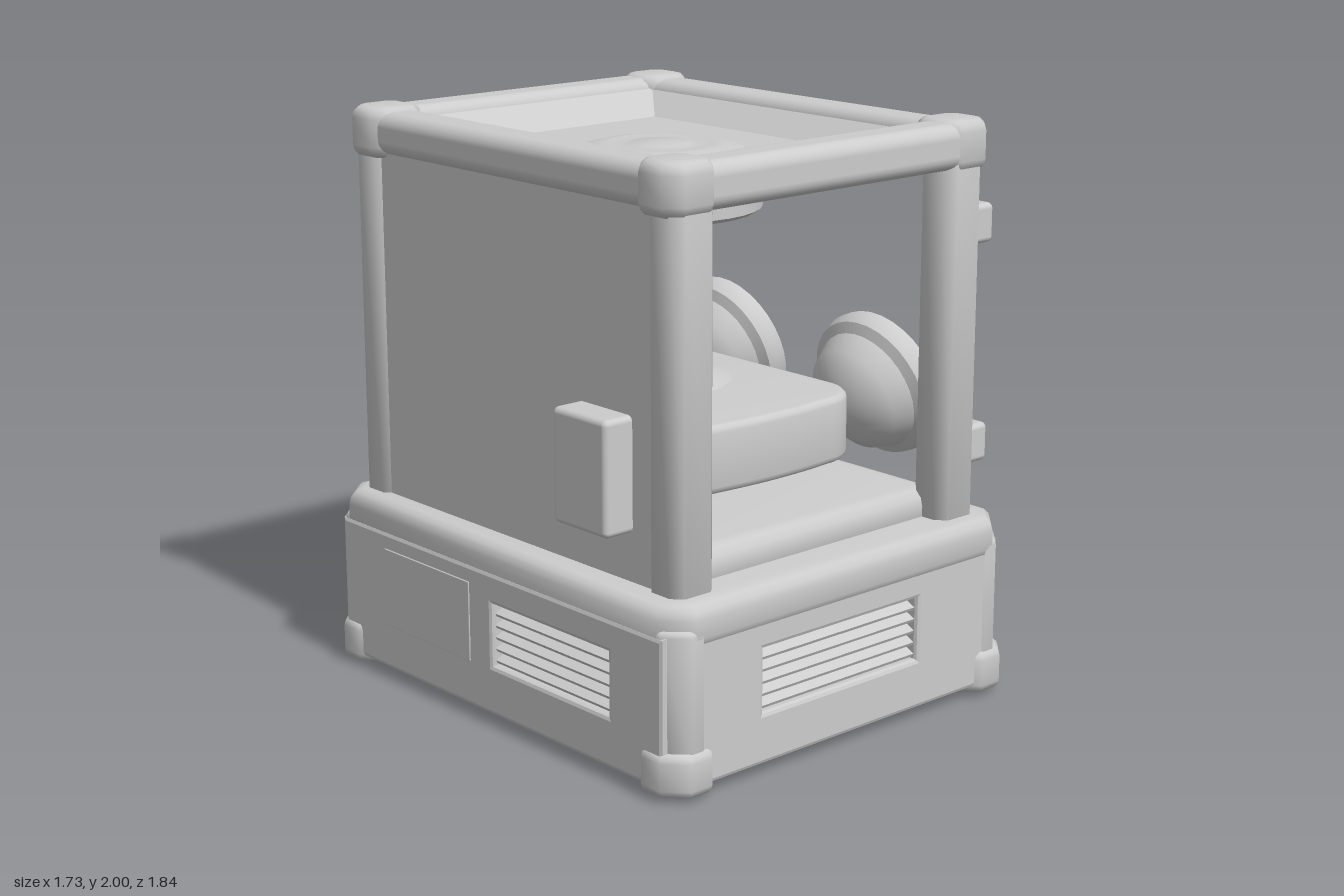
import * as THREE from 'three';
import { toCreasedNormals } from 'three/addons/utils/BufferGeometryUtils.js';
import { RoundedBoxGeometry } from 'three/addons/geometries/RoundedBoxGeometry.js';

const grey = new THREE.MeshStandardMaterial({ color: 0xcccccc });
grey.name = 'plain grey';

export function createModel() {
  const model = new THREE.Group();
  model.name = 'gloveBoxMachine';

  const add = (name, geo, parent = model) => {
    const mesh = new THREE.Mesh(geo, grey);
    mesh.name = name;
    parent.add(mesh);
    return mesh;
  };
  // Rounded box given by its limits
  const box = (name, x0, x1, y0, y1, z0, z1, r = 0.02, parent = model) => {
    const m = add(name, new RoundedBoxGeometry(x1 - x0, y1 - y0, z1 - z0, 3, r), parent);
    m.position.set((x0 + x1) / 2, (y0 + y1) / 2, (z0 + z1) / 2);
    return m;
  };
  // Upright block with cut corners (c) and bevelled top and bottom (b)
  const block = (name, x0, x1, y0, y1, z0, z1, c, b) => {
    const w = (x1 - x0) / 2, d = (z1 - z0) / 2;
    const shape = new THREE.Shape([
      [w - c, -d], [w, -d + c], [w, d - c], [w - c, d],
      [-w + c, d], [-w, d - c], [-w, -d + c], [-w + c, -d],
    ].map(([x, y]) => new THREE.Vector2(x, y)));
    const geo = new THREE.ExtrudeGeometry(shape, {
      depth: y1 - y0 - 2 * b, bevelThickness: b, bevelSize: b, bevelOffset: -b, bevelSegments: 3,
    });
    geo.rotateX(-Math.PI / 2);
    const m = add(name, toCreasedNormals(geo, 0.85));
    m.position.set((x0 + x1) / 2, y0 + b, (z0 + z1) / 2);
    return m;
  };
  const rect = (P, x0, x1, y0, y1) => new P().moveTo(x0, y0).lineTo(x1, y0).lineTo(x1, y1).lineTo(x0, y1).closePath();
  // Turned part about an upright axis
  const turned = (name, pts, x, z, parent = model, seg = 32) => {
    const geo = new THREE.LatheGeometry(pts.map(p => new THREE.Vector2(p[0], p[1])), seg);
    const m = add(name, toCreasedNormals(geo, 0.6), parent);
    m.position.set(x, 0, z);
    return m;
  };

  // Base: inner core, lid and four vented walls
  const cx = -0.08;
  box('baseCore', -0.76, 0.61, 0.02, 0.6, -0.82, 0.82, 0.01);
  block('baseLid', -0.845, 0.69, 0.48, 0.64, -0.905, 0.905, 0.09, 0.05);
  const wall = (side, width, dist, angle, v0, v1) => {
    const g = new THREE.Group();
    g.name = side + 'BaseWall';
    const shape = rect(THREE.Shape, -width / 2, width / 2, 0.04, 0.54);
    shape.holes.push(rect(THREE.Path, v0, v1, 0.215, 0.43));
    const panel = add('ventedPanel', new THREE.ExtrudeGeometry(shape, {
      depth: 0.05, bevelThickness: 0.015, bevelSize: 0.015, bevelOffset: -0.015, bevelSegments: 2,
    }), g);
    panel.position.z = dist - 0.065;
    for (let i = 0; i < 5; i++) {
      const slat = add('ventSlat', new THREE.BoxGeometry(v1 - v0 + 0.02, 0.012, 0.06), g);
      slat.position.set((v0 + v1) / 2, 0.24 + i * 0.041, dist - 0.045);
      slat.rotation.x = 0.45;
    }
    g.position.x = cx;
    g.rotation.y = angle;
    model.add(g);
  };
  wall('front', 1.4, 0.9, 0, -0.385, 0.32);
  wall('back', 1.4, 0.9, Math.PI, -0.34, 0.39);
  wall('right', 1.7, 0.77, Math.PI / 2, -0.61, 0.02);
  wall('left', 1.7, 0.77, -Math.PI / 2, 0.0, 0.59);
  box('sideHatch', -0.854, -0.846, 0.2, 0.48, -0.6, -0.12, 0.003);
  add('drainNub', new THREE.ConeGeometry(0.04, 0.04, 8).rotateX(Math.PI)).position.set(-0.15, 0.02, 0);

  // Corners: feet, base columns, frame posts and top caps
  for (const sx of [-1, 1]) for (const sz of [-1, 1]) {
    const put = (name, out, inn, zOut, zIn, y0, y1, c, b, mid) => {
      const xs = [mid + sx * out, mid + sx * inn].sort((a, q) => a - q);
      const zs = [sz * zOut, sz * zIn].sort((a, q) => a - q);
      block(name, xs[0], xs[1], y0, y1, zs[0], zs[1], c, b);
    };
    put('foot', 0.785, 0.56, 0.92, 0.69, 0.015, 0.165, 0.07, 0.03, -0.075);
    put('baseColumn', 0.767, 0.58, 0.905, 0.72, 0.1, 0.56, 0.07, 0.02, -0.078);
    put('framePost', 0.685, 0.51, 0.83, 0.675, 0.58, 1.9, 0.035, 0.02, -0.085);
    put('frameCap', 0.712, 0.5, 0.84, 0.635, 1.82, 1.995, 0.05, 0.04, -0.083);
  }

  // Top frame beams
  for (const s of [-1, 1]) {
    const z = s * 0.75, x = -0.083 + s * 0.61;
    box('topCrossBeam', -0.7, 0.53, 1.83, 1.985, z - 0.085, z + 0.085, 0.05);
    box('topSideBeam', x - 0.085, x + 0.085, 1.835, 1.98, -0.75, 0.75, 0.05);
  }
  // Roof pan: flat plate, four inward slopes and a low ripple in the middle
  box('roofPlate', -0.7, 0.53, 1.83, 1.87, -0.76, 0.76, 0.01);
  const slopes = new THREE.CylinderGeometry(Math.SQRT2, 0.77 * Math.SQRT2, 0.095, 4, 1, true)
    .rotateY(Math.PI / 4).toNonIndexed();
  slopes.scale(-0.55, 1, 0.69);
  slopes.computeVertexNormals();
  add('roofSlopes', slopes).position.set(-0.083, 1.915, 0);
  turned('roofDome', [[0.3, 1.865], [0.22, 1.885], [0.17, 1.89], [0.13, 1.88], [0.1, 1.89], [0, 1.895]], -0.1, 0);

  // Solid left and back walls
  box('leftWall', -0.75, -0.685, 0.6, 1.88, -0.76, 0.76, 0.02);
  box('backWall', -0.7, 0.53, 0.6, 1.88, -0.8, -0.735, 0.02);
  box('backHatch', -0.4, 0, 0.87, 1.12, -0.808, -0.799, 0.003);

  // Chamber floor
  block('chamberFloor', -0.7, 0.52, 0.58, 0.735, -0.76, 0.74, 0.05, 0.06);

  // Long worktable with rounded corners, on a round foot
  const top = new THREE.Shape();
  const tw = 0.42, td = 0.575, tr = 0.17;
  top.absarc(tw - tr, td - tr, tr, 0, Math.PI / 2);
  top.absarc(-tw + tr, td - tr, tr, Math.PI / 2, Math.PI);
  top.absarc(-tw + tr, -td + tr, tr, Math.PI, Math.PI * 1.5);
  top.quadraticCurveTo(0, -td - 0.03, tw - tr, -td);
  top.absarc(tw - tr, -td + tr, tr, Math.PI * 1.5, Math.PI * 2);
  const topGeo = new THREE.ExtrudeGeometry(top, {
    depth: 0.18, bevelThickness: 0.025, bevelSize: 0.025, bevelOffset: -0.025, bevelSegments: 3,
  }).rotateX(-Math.PI / 2);
  add('worktable', toCreasedNormals(topGeo, 0.85)).position.set(-0.1, 0.865, 0);
  turned('tableFoot', [[0.19, 0.72], [0.19, 0.85]], -0.175, -0.05);
  box('rearHousing', -0.5, 0.06, 0.72, 1.11, -0.75, -0.3, 0.03);

  // Pedestal and ball
  turned('pedestal', [[0.33, 1.065], [0.24, 1.085], [0.21, 1.1], [0.19, 1.17], [0.185, 1.26], [0.16, 1.27],
    [0.14, 1.2], [0, 1.2]], -0.125, -0.07);
  for (let i = 0; i < 4; i++) {
    const a = Math.PI / 4 + i * Math.PI / 2;
    const jaw = add('pedestalJaw', new RoundedBoxGeometry(0.07, 0.16, 0.1, 2, 0.015));
    jaw.position.set(-0.125 + 0.18 * Math.cos(a), 1.19, -0.07 + 0.18 * Math.sin(a));
    jaw.rotation.y = -a;
  }
  add('ball', new THREE.SphereGeometry(0.122, 20, 14)).position.set(-0.125, 1.32, -0.07);

  // Ceiling lamp
  turned('ceilingLamp', [[0, 1.58], [0.13, 1.58], [0.16, 1.605], [0.2, 1.635], [0.2, 1.66], [0.33, 1.665],
    [0.352, 1.68], [0.352, 1.76], [0.33, 1.775], [0.345, 1.79], [0.345, 1.84]], -0.113, 0);

  // Finned duct through the left wall
  box('ductOuter', -0.86, -0.6, 0.8, 1.18, 0.34, 0.6, 0.02);
  box('ductInner', -0.7, -0.455, 0.73, 1.18, 0.3, 0.6, 0.02);
  for (let i = 0; i < 6; i++) box('ductFin', -0.68 + i * 0.036, -0.664 + i * 0.036, 0.8, 1.13, 0.59, 0.625, 0.004);

  // Two glove ports on the open right side
  for (const z of [0.38, -0.385]) {
    const port = new THREE.Group();
    port.name = 'glovePort';
    const bowl = turned('portBowl', [[0, -0.21], [0.12, -0.19], [0.19, -0.13], [0.22, -0.06], [0.255, -0.04],
      [0.267, 0], [0.26, 0.035], [0.235, 0.05], [0.205, 0.035], [0.19, -0.01], [0.14, -0.08], [0.07, -0.13],
      [0, -0.14]], 0, 0, port);
    bowl.rotation.z = -Math.PI / 2;
    const sleeve = new THREE.CatmullRomCurve3([
      [-0.09, 0.05, 0.12], [0.01, -0.01, 0.125], [0.05, -0.09, 0.1], [0.065, -0.15, 0],
      [0.05, -0.09, -0.1], [0.01, -0.01, -0.125], [-0.09, 0.05, -0.12],
    ].map(p => new THREE.Vector3(...p)));
    add('gloveCuff', new THREE.TubeGeometry(sleeve, 28, 0.068, 10), port);
    port.position.set(0.575, 1.015, z);
    port.rotation.z = 0.3;
    model.add(port);
  }

  // Clips on the right posts
  for (const s of [-1, 1]) for (const y of [0.885, 1.64])
    box('postClip', 0.5, 0.645, y - 0.067, y + 0.067, s * 0.745 - 0.085, s * 0.745 + 0.085, 0.02);

  // Control console with sloped face
  const profile = new THREE.Shape([[0.6, 0.12], [0.78, 0.125], [0.855, 0.26], [0.855, 0.31], [0.745, 0.49], [0.7, 0.505],
    [0.6, 0.505]].map(p => new THREE.Vector2(...p)));
  const consoleGeo = new THREE.ExtrudeGeometry(profile, {
    depth: 0.45, bevelThickness: 0.02, bevelSize: 0.02, bevelOffset: -0.02, bevelSegments: 2,
  });
  add('controlConsole', toCreasedNormals(consoleGeo, 0.6)).position.z = -0.7;
  const face = new THREE.Group();
  face.name = 'consoleFace';
  face.position.set(0.8, 0.385, -0.475);
  face.rotation.z = Math.atan2(0.11, 0.18);
  box('screenFrame', -0.03, 0.018, -0.08, 0.08, -0.155, 0.015, 0.015, face);
  box('screen', 0.012, 0.026, -0.06, 0.06, -0.135, -0.005, 0.006, face);
  for (let i = 0; i < 3; i++) {
    const button = add('button', new THREE.SphereGeometry(0.03, 12, 8), face);
    button.position.set(0.005, -0.075 + i * 0.075, 0.12);
  }
  model.add(face);

  return model;
}
